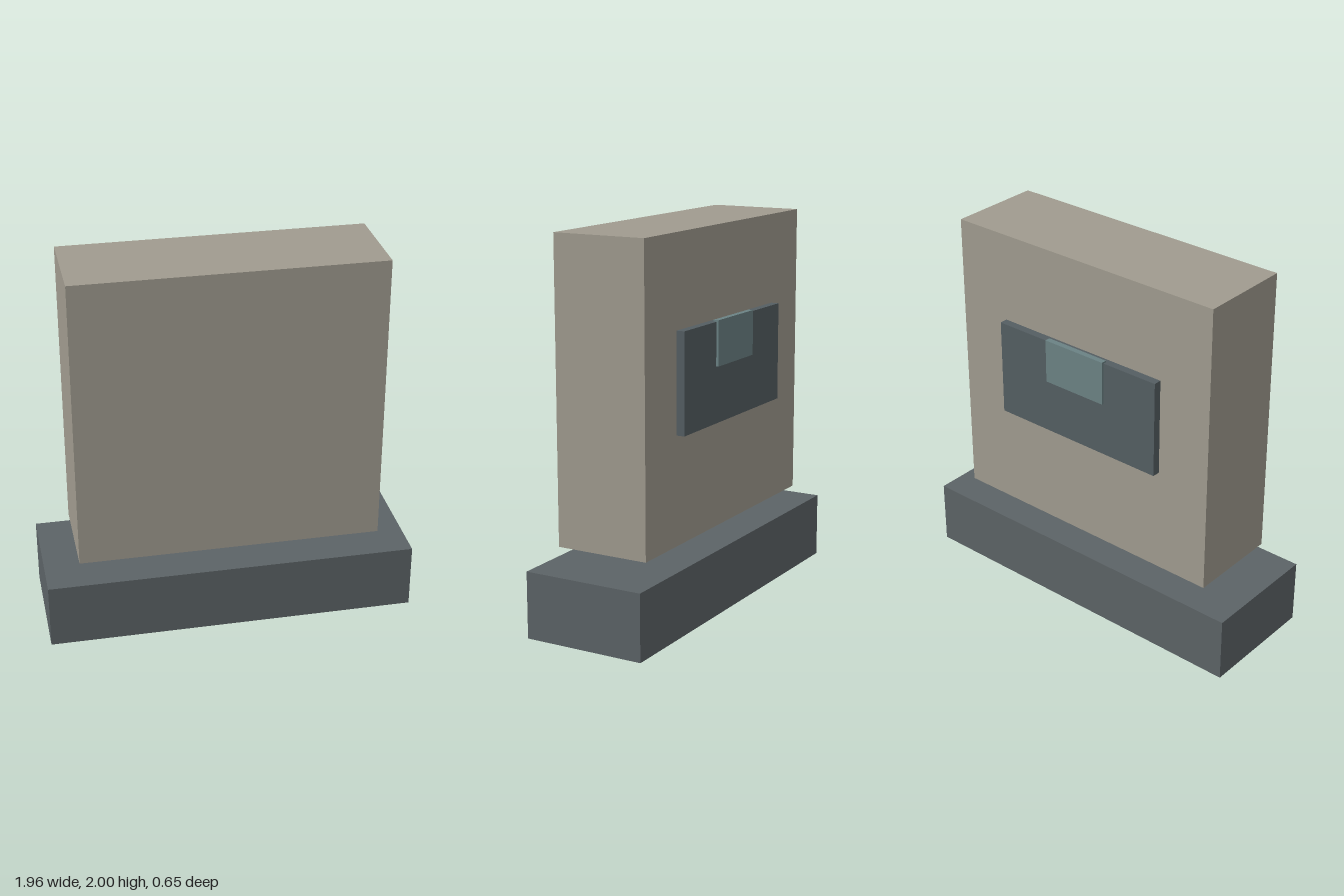
import * as THREE from 'three';

// Axis-aligned block given by its width and its y and z ranges
function block(name, color, width, [y0, y1], [z0, z1]) {
  const mesh = new THREE.Mesh(
    new THREE.BoxGeometry(width, y1 - y0, z1 - z0),
    new THREE.MeshStandardMaterial({ color })
  );
  mesh.name = name;
  mesh.position.set(0, (y0 + y1) / 2, (z0 + z1) / 2);
  return mesh;
}

export function createModel() {
  const stone = 0xa09b8f, slate = 0x5c6366, plate = 0x545e62, tag = 0x6b8284;
  const group = new THREE.Group();
  group.name = 'slabOnPlinth';
  group.add(
    // Wide plinth on the ground
    block('plinth', slate, 1.956, [0, 0.348], [-0.326, 0.326]),
    // Upright slab, floating just above the plinth
    block('slab', stone, 1.604, [0.438, 2], [-0.252, 0.252]),
    // Plate on the back with a small tag at its top edge
    block('backPlate', plate, 1.01, [1.005, 1.525], [-0.295, -0.252]),
    block('backTag', tag, 0.37, [1.299, 1.534], [-0.308, -0.278])
  );
  return group;
}
